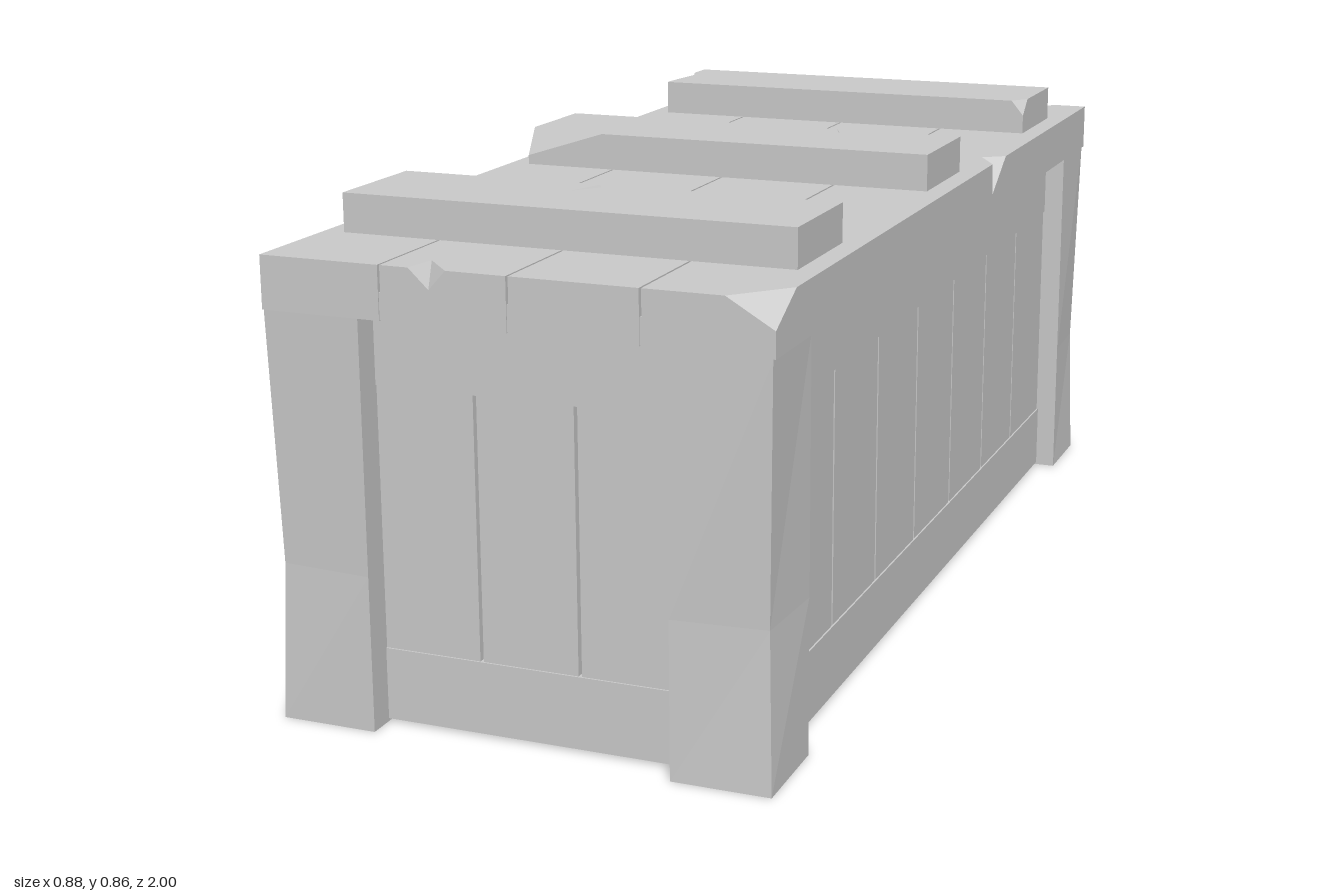
import * as THREE from 'three';

const material = new THREE.MeshStandardMaterial({ color: 0xcccccc, flatShading: true });

function add(parent, name, geometry) {
  const mesh = new THREE.Mesh(geometry, material);
  mesh.name = name;
  parent.add(mesh);
  return mesh;
}

function block(parent, name, x0, x1, y0, y1, z0, z1) {
  const g = new THREE.BoxGeometry(x1 - x0, y1 - y0, z1 - z0);
  g.translate((x0 + x1) / 2, (y0 + y1) / 2, (z0 + z1) / 2);
  return add(parent, name, g);
}

// Box with splinters missing from its top edges.
// Edges run anticlockwise from above: 0 = +z, 1 = +x, 2 = -z, 3 = -x.
// chips: { e, s0, s1, top: [along, inward], side: [along, drop] }
// corners, keyed by the edge that starts there: { prev, next, drop }
function chippedBox(x0, x1, y0, y1, z0, z1, chips = [], corners = {}) {
  const base = [[x0, z1], [x1, z1], [x1, z0], [x0, z0]];
  const dirs = [[1, 0], [0, -1], [-1, 0], [0, 1]];
  const len = e => (e % 2 ? z1 - z0 : x1 - x0);
  const P = (e, s, inward = 0, drop = 0) => {
    const d = dirs[e], n = dirs[(e + 1) % 4];
    return new THREE.Vector3(base[e][0] + d[0] * s + n[0] * inward, y1 - drop,
      base[e][1] + d[1] * s + n[1] * inward);
  };
  const pos = [];
  const tri = (...points) => points.forEach(p => pos.push(p.x, p.y, p.z));
  const fill = (points, project) => THREE.ShapeUtils.triangulateShape(points.map(project), [])
    .forEach(f => tri(...f.map(i => points[i])));

  const top = [], bottom = [];
  const h = y1 - y0;
  for (let e = 0; e < 4; e++) {
    const L = len(e), p = (e + 3) % 4, a = corners[e], b = corners[(e + 1) % 4];
    const start = P(e, a ? a.next : 0);
    const side = a ? [P(e, 0, 0, a.drop), start] : [start];
    if (a) {
      const before = P(p, len(p) - a.prev);
      top.push(before);
      tri(before, side[0], start);
    }
    top.push(start);
    for (const c of chips.filter(c => c.e === e)) {
      const q0 = P(e, c.s0), q1 = P(e, c.s1);
      const t = P(e, ...c.top), d = P(e, c.side[0], 0, c.side[1]);
      top.push(q0, t, q1);
      side.push(q0, d, q1);
      tri(q0, d, t);
      tri(d, q1, t);
    }
    side.push(P(e, b ? L - b.prev : L));
    if (b) side.push(P(e, L, 0, b.drop));
    const outline = [P(e, 0, 0, h), P(e, L, 0, h), ...side.reverse()];
    fill(outline, v => new THREE.Vector2(
      (v.x - base[e][0]) * dirs[e][0] + (v.z - base[e][1]) * dirs[e][1], v.y));
    bottom.push(P(e, 0, 0, h));
  }
  fill(top, v => new THREE.Vector2(v.x, -v.z));
  tri(bottom[0], bottom[2], bottom[1]);
  tri(bottom[0], bottom[3], bottom[2]);
  const g = new THREE.BufferGeometry();
  g.setAttribute('position', new THREE.Float32BufferAttribute(pos, 3));
  g.computeVertexNormals();
  return g;
}

// Corner post whose outer edge is worn inward part-way up
function postGeometry(sx, sz) {
  const g = new THREE.BoxGeometry(0.17, 0.7, 0.17, 1, 2, 1);
  const p = g.attributes.position;
  for (let i = 0; i < p.count; i++) {
    if (Math.abs(p.getY(i)) > 0.01) continue;
    p.setY(i, -0.08);
    if (p.getX(i) * sx > 0 && p.getZ(i) * sz > 0) {
      p.setX(i, p.getX(i) - sx * 0.008);
      p.setZ(i, p.getZ(i) - sz * 0.012);
    }
  }
  g.translate(sx * 0.348, 0.35, sz * 0.915);
  g.computeVertexNormals();
  return g;
}

// Recessed wall: two rails, upright planks with gaps, and a backing board
function wall(name, width, planks) {
  const g = new THREE.Group();
  g.name = name;
  const w = width / 2, step = width / planks, gap = 0.003;
  block(g, 'bottomRail', -w, w, 0.005, 0.13, -0.08, 0);
  block(g, 'topRail', -w, w, 0.58, 0.698, -0.08, 0);
  block(g, 'backingBoard', -w, w, 0.12, 0.59, -0.075, -0.03);
  for (let i = 0; i < planks; i++) {
    const x = -w + i * step;
    block(g, 'wallPlank', x + (i ? gap : 0), x + step - (i < planks - 1 ? gap : 0),
      0.125, 0.585, -0.06, -0.003);
  }
  return g;
}

export function createModel() {
  const model = new THREE.Group();
  model.name = 'woodenCrate';

  // Body: posts, four walls and a raised floor
  const body = new THREE.Group();
  body.name = 'body';
  body.position.x = 0.003;
  model.add(body);
  for (const sx of [-1, 1]) {
    for (const sz of [-1, 1]) add(body, 'cornerPost', postGeometry(sx, sz));
    const side = wall('sideWall', 1.66, 7);
    side.rotation.y = sx * Math.PI / 2;
    side.position.x = sx * 0.394;
    body.add(side);
    const end = wall('endWall', 0.526, 3);
    end.rotation.y = sx > 0 ? 0 : Math.PI;
    end.position.z = sx * 0.952;
    body.add(end);
  }
  block(body, 'floor', -0.36, 0.36, 0.05, 0.08, -0.92, 0.92);

  // Lid: four long planks with chipped edges
  const lid = new THREE.Group();
  lid.name = 'lid';
  model.add(lid);
  const seams = [-0.433, -0.219, 0.003, 0.224, 0.44];
  const plankChips = [
    [],
    [{ e: 0, s0: 0.05, s1: 0.115, top: [0.06, 0.06], side: [0.085, 0.033] }],
    [],
    [{ e: 1, s0: 1.21, s1: 1.31, top: [1.28, 0.04], side: [1.21, 0.06] },
      { e: 2, s0: 0.07, s1: 0.12, top: [0.09, 0.03], side: [0.09, 0.03] }],
  ];
  // keep the drop point of the side splinter between its ends
  plankChips[3][0].side[0] = 1.215;
  for (let i = 0; i < 4; i++) {
    const gap = 0.002;
    add(lid, 'lidPlank', chippedBox(
      seams[i] + (i ? gap : 0), seams[i + 1] - (i < 3 ? gap : 0), 0.7, 0.79, -1, 1,
      plankChips[i], i === 3 ? { 1: { prev: 0.08, next: 0.09, drop: 0.047 } } : {}));
  }
  block(lid, 'lidBacking', -0.3, 0.3, 0.701, 0.745, -0.998, 0.998);

  // Battens across the lid
  const battens = [
    { z: -0.697,
      chips: [{ e: 3, s0: 0.06, s1: 0.2, top: [0.065, 0.015], side: [0.08, 0.03] }],
      corners: { } },
    { z: -0.003,
      chips: [{ e: 2, s0: 0.19, s1: 0.245, top: [0.23, 0.035], side: [0.22, 0.03] }],
      corners: { 0: { prev: 0.03, next: 0.155, drop: 0.05 } } },
    { z: 0.692,
      chips: [{ e: 2, s0: 0.4, s1: 0.43, top: [0.455, 0.07], side: [0.415, 0.025] }],
      corners: {} },
  ];
  battens[0].corners[1] = { prev: 0.025, next: 0.035, drop: 0.03 };
  for (const b of battens) {
    add(lid, 'lidBatten', chippedBox(-0.396, 0.402, 0.789, 0.857, b.z - 0.108, b.z + 0.108,
      b.chips, b.corners));
  }

  // Hinge plates along the back of the lid
  for (const z of [-0.435, 0.432]) {
    block(model, 'hingePlate', -0.444, -0.425, 0.66, 0.745, z - 0.11, z + 0.11);
  }
  return model;
}
